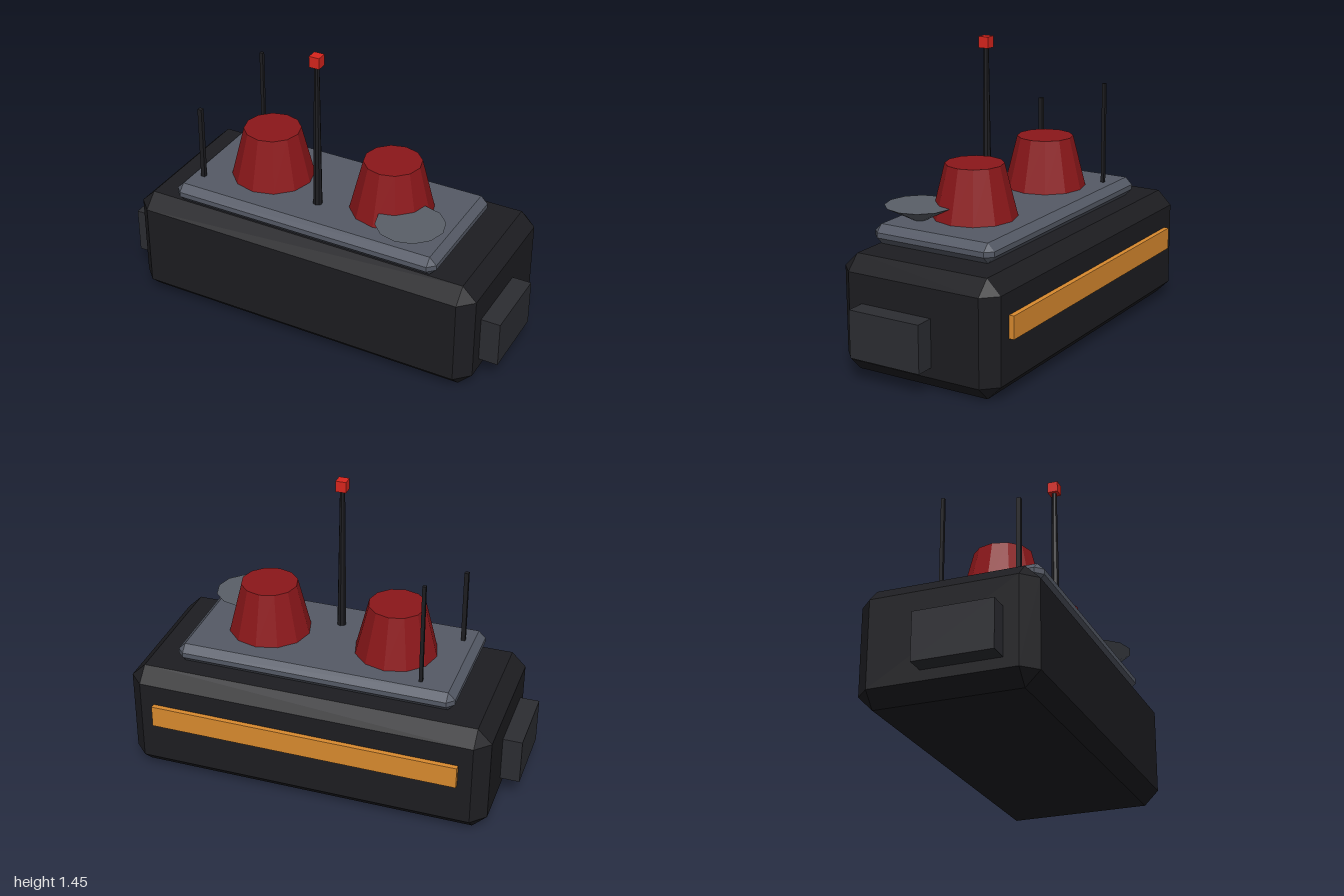
import * as THREE from 'three';
import { ConvexGeometry } from 'three/addons/geometries/ConvexGeometry.js';

const material = (color) => new THREE.MeshStandardMaterial({ color, flatShading: true });
const black = material(0x1d1d21);
const darkGrey = material(0x2c2d32);
const slate = material(0x555a66);
const dishGrey = material(0x5a5f68);
const darkRed = material(0x8b171a);
const brightRed = material(0xd9251d);
const orange = material(0xd98a2e);

// Box with all edges cut at 45 degrees and triangular corners
function chamferedBox(w, h, d, bevel) {
  const half = [w / 2, h / 2, d / 2];
  const points = [];
  for (const sx of [-1, 1]) for (const sy of [-1, 1]) for (const sz of [-1, 1]) {
    for (let axis = 0; axis < 3; axis++) {
      const p = half.map((v, i) => (i === axis ? v : v - bevel));
      points.push(new THREE.Vector3(p[0] * sx, p[1] * sy, p[2] * sz));
    }
  }
  return new ConvexGeometry(points);
}

export function createModel() {
  const model = new THREE.Group();
  model.name = 'beaconUnit';

  const add = (name, geometry, mat, x, y, z) => {
    const mesh = new THREE.Mesh(geometry, mat);
    mesh.name = name;
    mesh.position.set(x, y, z);
    model.add(mesh);
    return mesh;
  };

  // Main body and raised deck
  add('body', chamferedBox(1.81, 0.56, 0.835, 0.07), black, 0, 0.28, 0.0125);
  add('deck', chamferedBox(1.394, 0.095, 0.65, 0.035), slate, 0, 0.6075, 0.06);

  // Mirrored side blocks and domes
  for (const [side, s] of [['left', 1], ['right', -1]]) {
    add(side + 'SideBlock', new THREE.BoxGeometry(0.12, 0.23, 0.375), darkGrey, s * 0.94, 0.235, 0.1025);
    add(side + 'Dome', new THREE.CylinderGeometry(0.14, 0.205, 0.26, 12), darkRed, s * 0.325, 0.78, 0.055);
  }

  // Light strip along the back
  add('rearStrip', new THREE.BoxGeometry(1.535, 0.11, 0.04), orange, 0, 0.33, -0.41);

  // Tapered mast with its beacon
  add('mast', new THREE.CylinderGeometry(0.013, 0.023, 0.745, 8), black, 0, 1.0225, 0.195);
  add('mastBeacon', new THREE.BoxGeometry(0.052, 0.055, 0.052), brightRed, 0, 1.4175, 0.195);

  // Thin whip aerials
  add('tallAerial', new THREE.BoxGeometry(0.017, 0.52, 0.017), black, -0.515, 0.905, -0.175);
  add('shortAerial', new THREE.BoxGeometry(0.021, 0.38, 0.021), black, -0.61, 0.84, 0.245);

  // Shallow inverted dish
  add('dish', new THREE.CylinderGeometry(0.165, 0, 0.088, 12), dishGrey, 0.51, 0.681, 0.24);

  return model;
}
